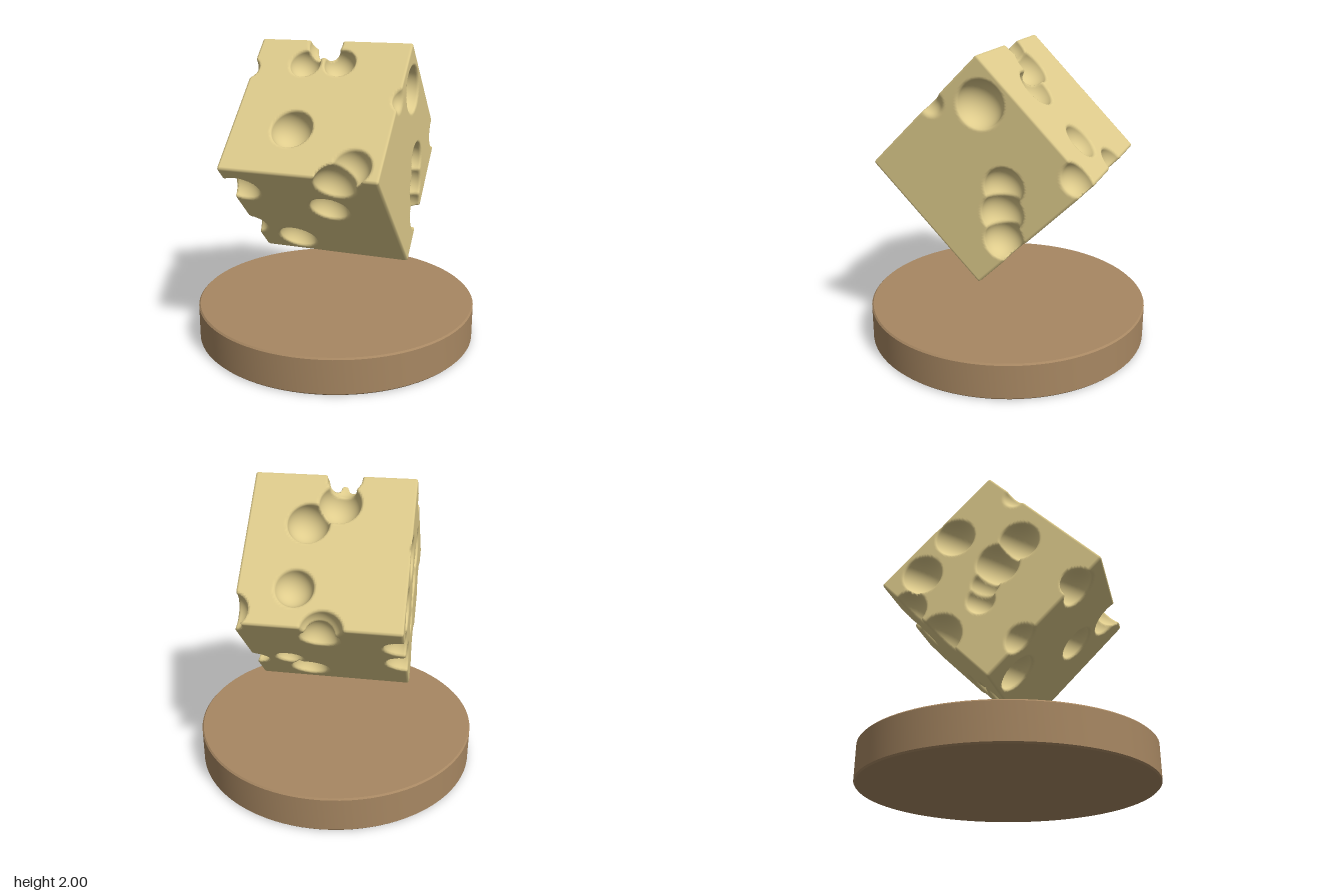
import * as THREE from 'three';
import { toCreasedNormals } from 'three/addons/utils/BufferGeometryUtils.js';

const HALF = 0.512, ROUND = 0.014, CENTRE_Y = 1.28, TILT = Math.PI / 4;

// Round holes bitten out of the cheese: x, y, z, radius
const HOLES = [
  // upper front
  [-0.11, 1.51, 0.49, 0.13], [-0.16, 1.865, 0.135, 0.1], [0.07, 1.87, 0.12, 0.1],
  // ridge and upper back
  [-0.06, 1.97, 0.01, 0.11], [-0.05, 1.86, -0.14, 0.13], [0.13, 1.76, -0.24, 0.13], [0.16, 1.47, -0.56, 0.12],
  // front edge
  [0.33, 1.36, 0.67, 0.12], [0.23, 1.22, 0.67, 0.13],
  // lower front
  [0.12, 1.01, 0.45, 0.125], [-0.43, 1.12, 0.56, 0.125], [-0.23, 0.68, 0.12, 0.13], [-0.53, 0.77, 0.22, 0.11],
  // back edge and lower back
  [-0.03, 1.28, -0.74, 0.13], [0, 1.16, -0.6, 0.12], [0.26, 0.84, -0.28, 0.09], [0.15, 0.7, -0.14, 0.125],
  // left side, with its trough
  [0.53, 1.71, -0.02, 0.15], [0.51, 1.21, -0.17, 0.125], [0.51, 1.04, -0.16, 0.135], [0.5, 0.87, -0.17, 0.125],
  [0.53, 1.32, -0.64, 0.11], [0.56, 1.69, 0.3, 0.09],
  // right side, with its trough
  [-0.52, 1.57, -0.23, 0.13], [-0.52, 1.32, -0.445, 0.13], [-0.52, 1.48, 0.2, 0.13], [-0.52, 1.33, 0.06, 0.14],
  [-0.52, 1.19, -0.02, 0.09], [-0.52, 1.08, -0.05, 0.09], [-0.5, 1.08, -0.53, 0.12], [-0.52, 0.87, -0.31, 0.14],
  [-0.55, 1.82, 0.17, 0.08],
].map(([x, y, z, r]) => ({
  c: new THREE.Vector3(x, y - CENTRE_Y, z).applyAxisAngle(new THREE.Vector3(1, 0, 0), -TILT), r,
}));

function smoothMax(a, b, k) {
  const h = Math.max(k - Math.abs(a - b), 0) / k;
  return Math.max(a, b) + h * h * k / 4;
}

// Signed distance: rounded cube minus the holes
function distance(x, y, z) {
  const b = HALF - ROUND;
  const qx = Math.abs(x) - b, qy = Math.abs(y) - b, qz = Math.abs(z) - b;
  let d = Math.hypot(Math.max(qx, 0), Math.max(qy, 0), Math.max(qz, 0))
    + Math.min(Math.max(qx, qy, qz), 0) - ROUND;
  for (const { c, r } of HOLES) {
    d = smoothMax(d, r - Math.hypot(x - c.x, y - c.y, z - c.z), 0.018);
  }
  return d;
}

function gradient(x, y, z) {
  const e = 0.002;
  return new THREE.Vector3(
    distance(x + e, y, z) - distance(x - e, y, z),
    distance(x, y + e, z) - distance(x, y - e, z),
    distance(x, y, z + e) - distance(x, y, z - e),
  ).divideScalar(2 * e);
}

// Skin the distance field: one vertex per crossed cell, one quad per crossed edge
function cheeseGeometry() {
  const n = 84, min = -0.54, step = 1.08 / (n - 1);
  const stride = [1, n, n * n];
  const field = new Float32Array(n * n * n);
  const at = (i) => min + i * step;
  for (let k = 0, p = 0; k < n; k++)
    for (let j = 0; j < n; j++)
      for (let i = 0; i < n; i++, p++) field[p] = distance(at(i), at(j), at(k));

  const cell = new Int32Array(n * n * n).fill(-1);
  const positions = [], normals = [], index = [];
  for (let k = 0; k < n - 1; k++) for (let j = 0; j < n - 1; j++) for (let i = 0; i < n - 1; i++) {
    const p = i + j * n + k * n * n;
    const sum = new THREE.Vector3();
    let count = 0;
    for (let corner = 0; corner < 8; corner++) for (let a = 0; a < 3; a++) {
      if (corner >> a & 1) continue;
      const o = [corner & 1, corner >> 1 & 1, corner >> 2 & 1];
      const q = p + o[0] + o[1] * n + o[2] * n * n;
      const f0 = field[q], f1 = field[q + stride[a]];
      if (f0 < 0 === f1 < 0) continue;
      o[a] += f0 / (f0 - f1);
      sum.add(new THREE.Vector3(...o));
      count++;
    }
    if (!count) continue;
    const v = sum.divideScalar(count).multiplyScalar(step).add(new THREE.Vector3(at(i), at(j), at(k)));
    // Settle the vertex onto the true surface
    for (let s = 0; s < 2; s++) {
      const g = gradient(v.x, v.y, v.z);
      const move = -distance(v.x, v.y, v.z) / Math.max(g.lengthSq(), 0.3);
      v.addScaledVector(g, THREE.MathUtils.clamp(move, -step / 2, step / 2));
    }
    cell[p] = positions.length / 3;
    positions.push(v.x, v.y, v.z);
    normals.push(...gradient(v.x, v.y, v.z).normalize().toArray());
  }

  for (let k = 1; k < n - 1; k++) for (let j = 1; j < n - 1; j++) for (let i = 1; i < n - 1; i++) {
    const p = i + j * n + k * n * n;
    for (let a = 0; a < 3; a++) {
      const inside = field[p] < 0;
      if (inside === field[p + stride[a]] < 0) continue;
      const b = stride[(a + 1) % 3], c = stride[(a + 2) % 3];
      const quad = [cell[p - b - c], cell[p - c], cell[p], cell[p - b]];
      if (!inside) quad.reverse();
      index.push(quad[0], quad[1], quad[2], quad[0], quad[2], quad[3]);
    }
  }

  const geometry = new THREE.BufferGeometry();
  geometry.setAttribute('position', new THREE.Float32BufferAttribute(positions, 3));
  geometry.setAttribute('normal', new THREE.Float32BufferAttribute(normals, 3));
  geometry.setIndex(index);
  return geometry;
}

export function createModel() {
  const cheeseMaterial = new THREE.MeshStandardMaterial({ color: 0xdfcc8c });
  cheeseMaterial.name = 'pale cheese';
  const woodMaterial = new THREE.MeshStandardMaterial({ color: 0xa78762 });
  woodMaterial.name = 'brown wood';

  const model = new THREE.Group();
  model.name = 'floatingCheese';

  // Round base with a slightly softened rim
  const profile = [[0, 0], [0.94, 0], [0.95, 0.01], [0.95, 0.235], [0.94, 0.245], [0, 0.245]]
    .map(([x, y]) => new THREE.Vector2(x, y));
  const base = new THREE.Mesh(toCreasedNormals(new THREE.LatheGeometry(profile, 96), 0.6), woodMaterial);
  base.name = 'roundBase';
  model.add(base);

  // Cube of cheese balanced on its edge above the base
  const cheese = new THREE.Mesh(cheeseGeometry(), cheeseMaterial);
  cheese.name = 'cheeseCube';
  cheese.position.y = CENTRE_Y;
  cheese.rotation.x = TILT;
  model.add(cheese);

  return model;
}
